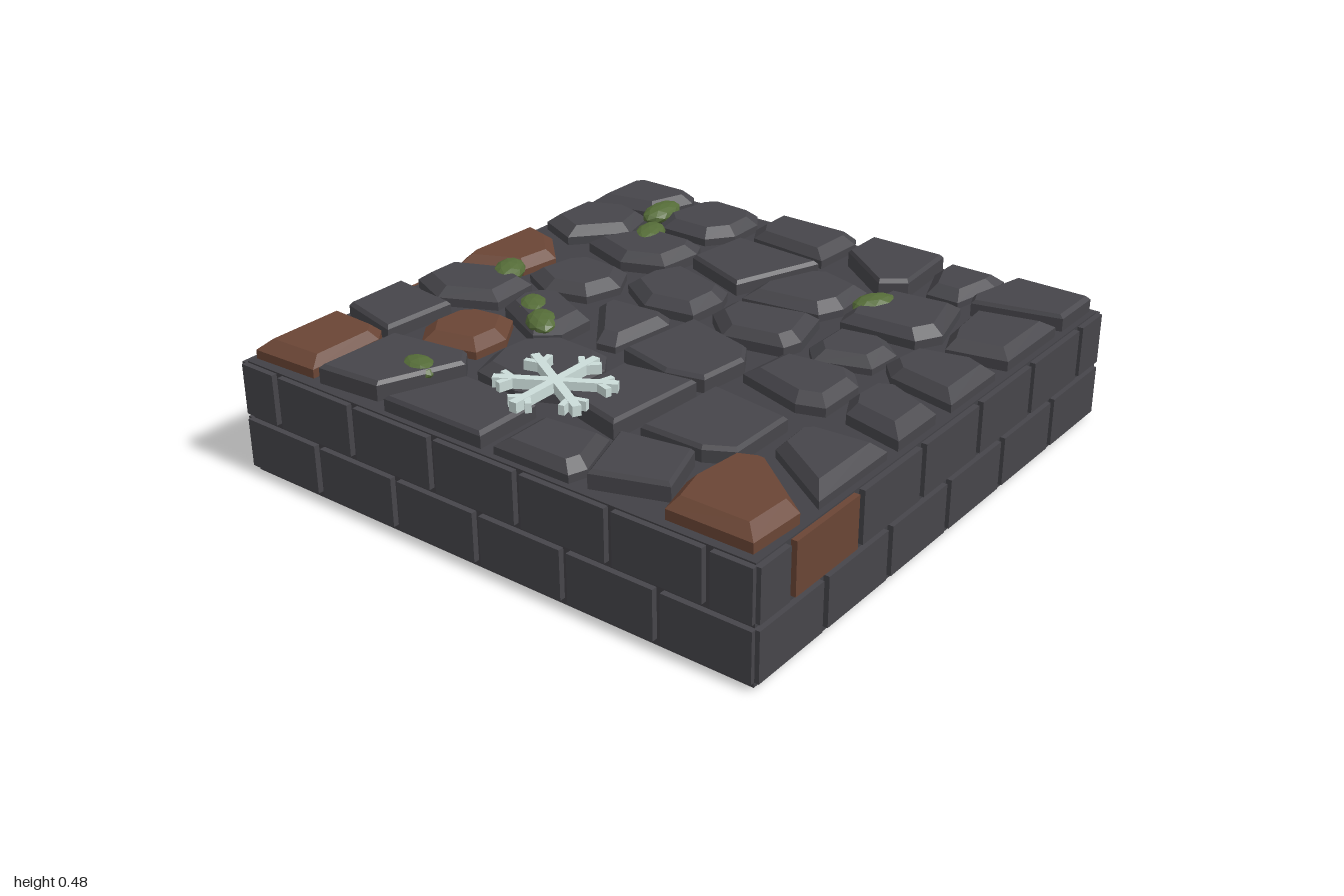
import * as THREE from 'three';

const flat = (name, color) => {
  const m = new THREE.MeshStandardMaterial({ color });
  m.name = name;
  m.flatShading = true;
  return m;
};

export function createModel() {
  const model = new THREE.Group();
  model.name = 'stoneFloorTile';
  const grey = flat('grey stone', 0x46454a);
  const brown = flat('brown stone', 0x6a4535);
  const mortar = flat('mortar', 0x424146);
  const green = flat('moss', 0x556c38);
  const frost = flat('frost', 0xcbdcd9);

  const group = (name) => {
    const g = new THREE.Group();
    g.name = name;
    model.add(g);
    return g;
  };
  const box = (parent, name, mat, size, pos) => {
    const m = new THREE.Mesh(new THREE.BoxGeometry(...size), mat);
    m.name = name;
    m.position.set(...pos);
    parent.add(m);
    return m;
  };

  // Mortar core
  box(model, 'mortarCore', mortar, [1.96, 0.39, 1.96], [0, 0.195, 0]);

  // Two courses of bricks on each side: front, left, back, right
  const brownBricks = ['1 upper 1', '3 upper 4', '3 lower 2', '3 lower 4'];
  const third = 1 / 3;
  for (let side = 0; side < 4; side++) {
    const wall = group('brickWall' + side);
    wall.rotation.y = side * Math.PI / 2;
    for (const course of ['lower', 'upper']) {
      const upper = course === 'upper';
      const count = upper ? 7 : 6;
      for (let i = 0; i < count; i++) {
        const start = -1 + third * (upper ? i - 0.5 : i);
        const a = Math.max(start + 0.013, -0.985);
        const b = Math.min(start + third - 0.013, 0.985);
        const mat = brownBricks.includes(`${side} ${course} ${i}`) ? brown : grey;
        const y0 = upper ? 0.21 : 0.022, y1 = upper ? 0.385 : 0.19;
        box(wall, course + 'Brick', mat, [b - a, y1 - y0, 0.04], [(a + b) / 2, (y0 + y1) / 2, 0.98]);
      }
    }
  }

  // Paving stones: outline in hundredths, straight sides, then a bevel to a smaller top
  const paving = group('pavingStones');
  let laid = 0;
  const stone = (mat, bevel, ...p) => {
    const n = p.length / 2;
    const pts = Array.from({ length: n }, (_, i) => new THREE.Vector2(p[2 * i] / 100, p[2 * i + 1] / 100));
    const c = pts.reduce((s, v) => s.add(v), new THREE.Vector2()).divideScalar(n);
    const radius = pts.reduce((s, v) => s + v.distanceTo(c), 0) / n;
    const top = 0.443 + 0.004 * (laid++ * 5 % 4);
    const k = 1 - bevel / radius;
    const rings = [[0.38, 1], [top - 0.6 * bevel - 0.004, 1], [top, k], [top, 0]];
    const at = (r, i) => {
      const [y, s] = rings[r], v = pts[i % n];
      return [c.x + (v.x - c.x) * s, y, c.y + (v.y - c.y) * s];
    };
    const pos = [];
    for (let r = 0; r < 3; r++) {
      for (let i = 0; i < n; i++) {
        pos.push(...at(r, i + 1), ...at(r, i), ...at(r + 1, i));
        if (r < 2) pos.push(...at(r, i + 1), ...at(r + 1, i), ...at(r + 1, i + 1));
      }
    }
    const g = new THREE.BufferGeometry();
    g.setAttribute('position', new THREE.Float32BufferAttribute(pos, 3));
    g.computeVertexNormals();
    const m = new THREE.Mesh(g, mat);
    m.name = 'pavingStone';
    paving.add(m);
  };
  const domed = (...p) => stone(grey, 0.045, ...p);
  const level = (...p) => stone(grey, 0.014, ...p);
  const rust = (...p) => stone(brown, 0.045, ...p);

  // Back row
  domed(-97, -94, -94, -97, -69, -97, -66, -92, -72, -75, -97, -70);
  domed(-61, -92, -56, -96, -38, -95, -33, -88, -33, -74, -40, -65, -59, -65, -65, -71);
  domed(-30, -97, 4, -97, 6, -93, 5, -73, -26, -76, -30, -83);
  level(11, -97, 40, -97, 42, -70, 34, -64, 11, -81);
  domed(42, -97, 64, -97, 64, -91, 60, -72, 48, -72, 42, -88);
  level(69, -97, 96, -97, 96, -77, 66, -70, 64, -75);
  // Second row
  domed(-96, -64, -80, -71, -69, -68, -65, -53, -80, -36, -96, -43);
  domed(-58, -57, -36, -57, -33, -51, -35, -35, -50, -29, -70, -36, -66, -45);
  level(-28, -70, 7, -68, -5, -36, -31, -46);
  domed(0, -41, 9, -62, 14, -65, 32, -60, 33, -44, 29, -35, 1, -31);
  domed(39, -64, 64, -67, 70, -45, 65, -36, 38, -34, 36, -40);
  domed(70, -66, 96, -72, 96, -40, 76, -36, 72, -46);
  // Third row
  rust(-96, -36, -85, -33, -72, -20, -74, -5, -95, 5, -97, 0);
  domed(-66, -19, -61, -25, -43, -24, -37, -13, -41, 0, -56, 4, -69, -3);
  domed(-36, -27, -30, -38, -5, -31, -2, -24, -3, -9, -21, -6, -36, -16);
  domed(2, -24, 32, -31, 37, -13, 35, -6, 14, -2, 2, -13);
  domed(40, -29, 57, -32, 65, -25, 64, -12, 46, -6, 40, -13);
  domed(68, -30, 89, -35, 96, -32, 96, -5, 72, -10, 66, -17);
  // Fourth row
  domed(-96, 9, -75, 0, -62, 4, -61, 22, -80, 31, -96, 24);
  domed(-54, 8, -48, 5, -27, 15, -27, 29, -34, 35, -56, 24, -58, 15);
  domed(-33, -2, -9, -4, -6, 0, -9, 24, -16, 25, -33, 3);
  level(1, -4, 27, 3, 32, 11, 30, 29, 17, 32, -3, 27);
  domed(37, -2, 62, -5, 68, 2, 68, 20, 59, 23, 35, 16);
  domed(72, -1, 78, -4, 96, 4, 96, 25, 75, 20, 71, 12);
  // Fifth row
  level(-97, 31, -71, 34, -73, 61, -97, 55);
  rust(-66, 36, -61, 31, -48, 29, -40, 41, -41, 54, -60, 59, -67, 50);
  domed(-34, 40, -24, 31, -6, 32, 0, 40, 0, 61, -13, 67, -31, 64, -35, 52);
  level(5, 37, 30, 33, 27, 69, 4, 63);
  level(35, 30, 64, 34, 64, 59, 55, 64, 33, 64);
  domed(69, 36, 72, 33, 96, 31, 96, 66, 70, 49);
  // Front row
  rust(-97, 60, -76, 61, -72, 66, -72, 94, -97, 95);
  level(-67, 64, -39, 60, -34, 66, -45, 93, -68, 95);
  level(-29, 71, 0, 72, 0, 96, -39, 96);
  domed(5, 75, 29, 73, 35, 90, 33, 96, 5, 96);
  level(31, 71, 55, 67, 62, 87, 39, 95);
  rust(64, 59, 71, 56, 96, 75, 95, 95, 66, 95, 62, 80);

  // Moss clumps: x, z, half length, turn
  const moss = group('moss');
  const clumps = [
    [-0.66, -0.73, 0.1, 0.1], [-0.56, -0.53, 0.1, 0.4], [0.41, -0.5, 0.085, -0.4],
    [-0.74, 0.02, 0.085, 0.5], [-0.47, 0.2, 0.085, 0.75], [-0.37, 0.27, 0.08, 0.85], [-0.45, 0.75, 0.075, 1.3],
  ];
  for (const [x, z, half, turn] of clumps) {
    const m = new THREE.Mesh(new THREE.IcosahedronGeometry(1, 1), green);
    m.name = 'mossClump';
    m.scale.set(0.055, 0.032, half);
    m.position.set(x, 0.436, z);
    m.rotation.y = turn;
    moss.add(m);
  }

  // Frost star: six forked arms
  const star = group('frostStar');
  star.position.set(0, 0.467, 0.63);
  for (let i = 0; i < 6; i++) {
    const arm = new THREE.Group();
    arm.name = 'starArm';
    arm.rotation.y = i * Math.PI / 3;
    star.add(arm);
    box(arm, 'armBar', frost, [0.028, 0.034, 0.19], [0, 0, 0.095]);
    for (const s of [-1, 1]) {
      const fork = box(arm, 'armFork', frost, [0.02, 0.032, 0.06], [s * 0.019, 0, 0.146]);
      fork.rotation.y = s * 0.8;
    }
  }
  return model;
}
